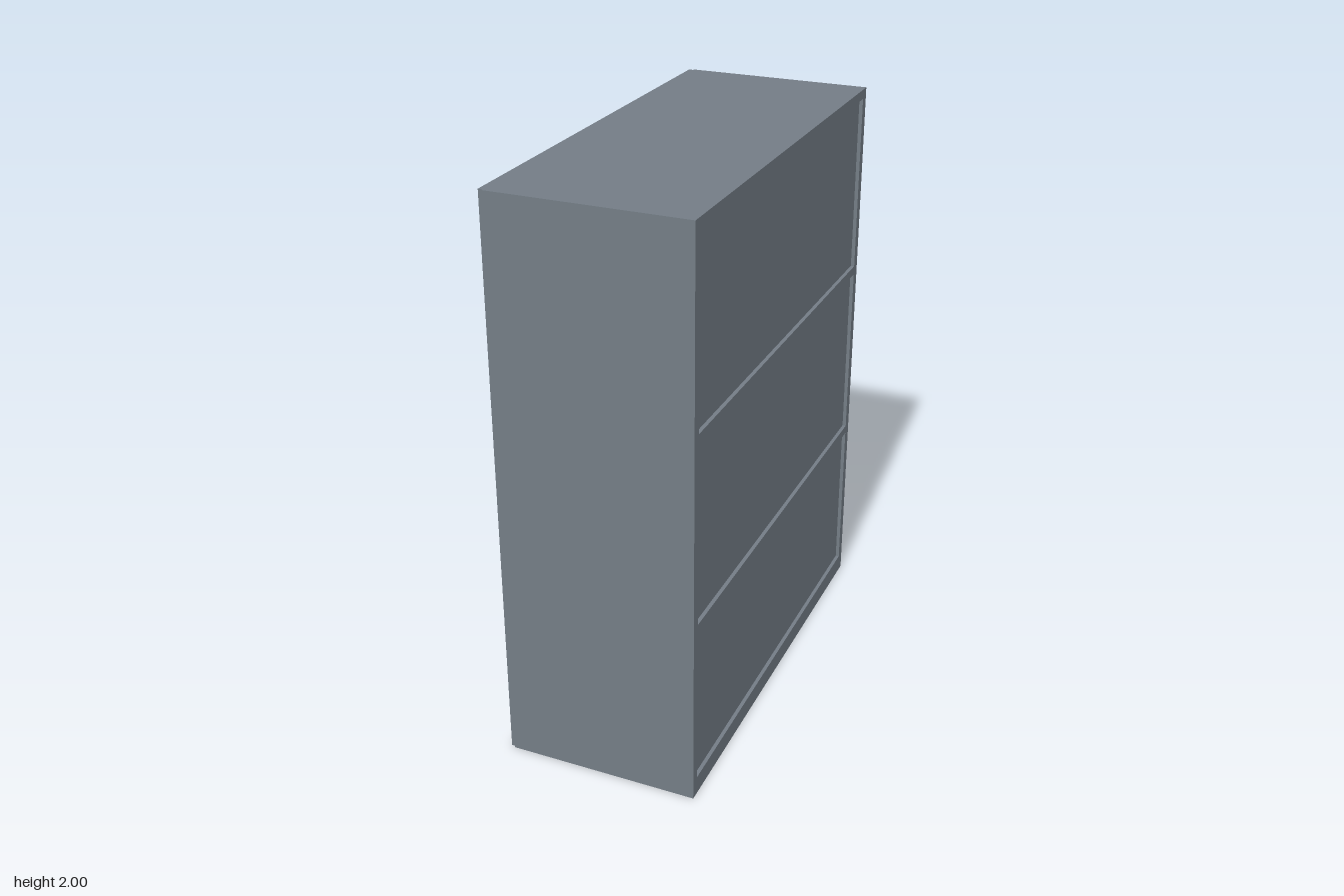
import * as THREE from 'three';

export function createModel() {
  const model = new THREE.Group();
  model.name = 'cabinet';
  const grey = new THREE.MeshStandardMaterial({ color: 0x747d86 });
  grey.name = 'slate grey';

  // box given by its minimum and maximum along each axis
  function box(name, [x0, x1], [y0, y1], [z0, z1], parent = model) {
    const mesh = new THREE.Mesh(new THREE.BoxGeometry(x1 - x0, y1 - y0, z1 - z0), grey);
    mesh.name = name;
    mesh.position.set((x0 + x1) / 2, (y0 + y1) / 2, (z0 + z1) / 2);
    parent.add(mesh);
  }

  const front = -0.292, back = 0.375, half = 0.782, board = 0.033;
  const depth = [front, back];
  const inner = [-half + board, half - board];

  // carcass: two sides, then base, shelves and top between them
  for (const s of [-1, 1]) {
    const z = [s * half, s * (half - board)].sort((a, b) => a - b);
    box('sidePanel', depth, [0, 2], z);
  }
  const levels = [[0, 0.065], [0.634, 0.665], [1.301, 1.333], [1.966, 2]];
  const names = ['base', 'shelf', 'shelf', 'top'];
  levels.forEach((y, i) => box(names[i], depth, y, inner));

  // thin panels set slightly into each bay of the open-framed side
  for (let i = 0; i < 3; i++) {
    box('backPanel', [back - 0.028, back - 0.013], [levels[i][1], levels[i + 1][0]], inner);
  }

  // pair of doors with bar handles beside the centre seam
  for (const s of [-1, 1]) {
    const span = (a, b) => (s > 0 ? [a, b] : [-b, -a]);
    box('door', [-0.308, front], [0, 2], span(0, 0.775));
    const handle = new THREE.Group();
    handle.name = 'handle';
    box('handleBar', [-0.376, -0.344], [0.838, 1.172], span(0.066, 0.099), handle);
    for (const y of [0.907, 1.122]) {
      box('handlePost', [-0.344, -0.308], [y - 0.016, y + 0.016], span(0.066, 0.099), handle);
    }
    model.add(handle);
  }
  return model;
}
